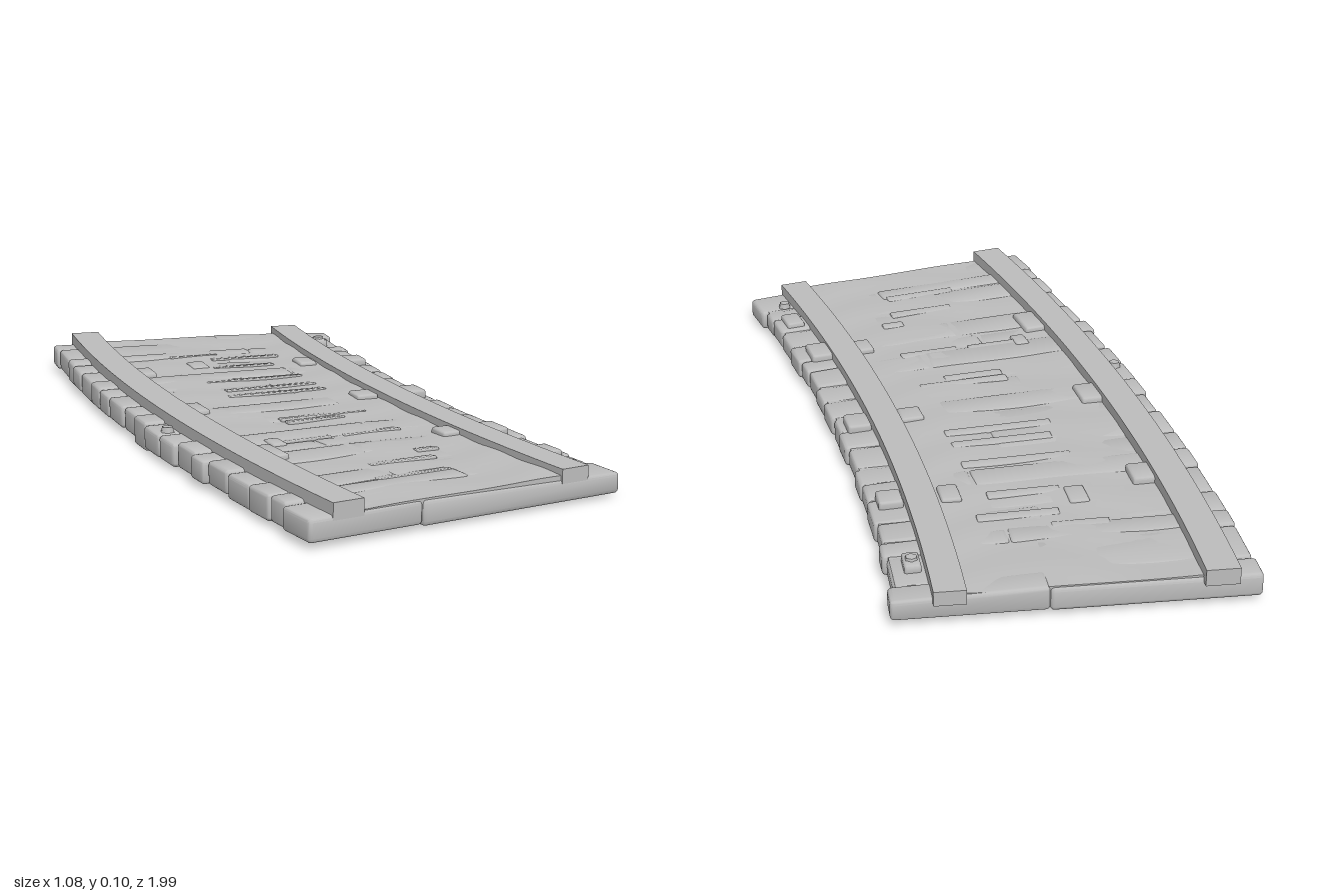
import * as THREE from 'three';
import { mergeVertices, toCreasedNormals } from 'three/addons/utils/BufferGeometryUtils.js';
import { RoundedBoxGeometry } from 'three/addons/geometries/RoundedBoxGeometry.js';

// Curved track bed: u runs across (0 to WIDTH), s runs along the arc (0 = back, 1 = front).
const RADIUS = 7.64, CX = 7.1, CZ = -0.98, TURN = Math.PI / 12, WIDTH = 0.85;
const LENGTH = TURN * (RADIUS - WIDTH / 2);

let seed = 7;
const rand = () => (seed = (seed * 16807) % 2147483647) / 2147483647;

// Upper level of the plank ends, lower on the outer right side
const deckTop = u => 0.077 - 0.011 * THREE.MathUtils.smoothstep(u, 0.55, 0.84);

// Convert plan position to track coordinates
function toTrack(x, z) {
  return [RADIUS - Math.hypot(CX - x, z - CZ), Math.atan2(z - CZ, CX - x) / TURN];
}

// Bend a geometry laid out in (u, y, s) around the arc
function bend(geo, shift) {
  const p = geo.attributes.position;
  for (let i = 0; i < p.count; i++) {
    let u = p.getX(i), y = p.getY(i);
    const s = p.getZ(i) / LENGTH;
    if (shift) y += shift(u, y, s);
    const r = RADIUS - u, a = s * TURN;
    p.setXYZ(i, CX - r * Math.cos(a), y, CZ + r * Math.sin(a));
  }
  geo.deleteAttribute('normal');
  geo.deleteAttribute('uv');
  return toCreasedNormals(mergeVertices(geo, 1e-5), 0.6);
}

export function createModel() {
  const group = new THREE.Group();
  const grey = new THREE.MeshStandardMaterial({ color: 0xbcbcbc });
  grey.name = 'weathered grey';

  function add(name, geo, parent = group) {
    const mesh = new THREE.Mesh(geo, grey);
    mesh.name = name;
    parent.add(mesh);
  }
  function section(name) {
    const g = new THREE.Group();
    g.name = name;
    group.add(g);
    return g;
  }
  // Rectangular piece subdivided so it can follow the curve
  function strip(u0, u1, s0, s1, y0, y1, nu, ns, shift) {
    const geo = new THREE.BoxGeometry(u1 - u0, y1 - y0, (s1 - s0) * LENGTH, nu, 1, ns);
    geo.translate((u0 + u1) / 2, (y0 + y1) / 2, (s0 + s1) / 2 * LENGTH);
    return bend(geo, shift);
  }
  // Worn short piece with rounded edges
  function chunk(u0, u1, s0, s1, y0, y1, radius, shift) {
    const geo = new RoundedBoxGeometry(u1 - u0, y1 - y0, (s1 - s0) * LENGTH, 2, radius);
    geo.translate((u0 + u1) / 2, (y0 + y1) / 2, (s0 + s1) / 2 * LENGTH);
    return bend(geo, shift);
  }

  // Solid bed behind the plank gaps
  add('bedCore', strip(0.02, 0.83, 0.004, 0.996, 0.022, 0.06, 1, 24));

  // Cross planks, each row made of two boards with a staggered joint
  const planks = section('crossPlanks');
  const rows = 19;
  const cuts = [0];
  for (let i = 1; i < rows; i++) cuts.push((i + (rand() - 0.5) * 0.45) / rows);
  cuts.push(1);
  for (let i = 0; i < rows; i++) {
    const end = i === 0 || i === rows - 1;
    const left = end ? 0 : rand() * 0.014, right = WIDTH - (end ? 0 : rand() * 0.016);
    const joint = 0.25 + rand() * 0.35;
    for (const [u0, u1] of [[left, joint], [joint, right]]) {
      const bottom = i === 9 ? 0 : 0.009 + rand() * 0.008;
      const wear = rand() * 0.006, mid = 0.045;
      add('plank', chunk(u0, u1, cuts[i] + 0.0005, cuts[i + 1] - 0.0005, bottom, 0.077, 0.01,
        (u, y) => (y > mid ? deckTop(u) - 0.077 - wear : 0)), planks);
    }
  }

  // Gently uneven walking surface between the rails
  add('centreSurface', strip(0.13, 0.69, 0.004, 0.997, 0.05, 0.074, 20, 60, (u, y, s) =>
    y < 0.06 ? 0 : 0.0018 * Math.sin(u * 17 + s * 9) + 0.0015 * Math.sin(s * 61 + 2 * Math.sin(u * 9))));

  // Rails, the inner one of the bend slightly lower
  add('rightRail', strip(0.06, 0.14, -0.008, 1, 0.06, 0.101, 1, 32));
  add('leftRail', strip(0.68, 0.755, -0.006, 1, 0.055, 0.091, 1, 32));

  // Raised plank edges showing through the surface: x, z, width
  const ridges = section('woodRidges');
  for (const [x, z, w] of [
    [-0.17, -0.70, 0.14], [-0.03, -0.64, 0.2], [-0.06, -0.53, 0.18], [-0.07, -0.36, 0.28],
    [-0.05, -0.25, 0.26], [-0.05, -0.18, 0.28], [0.0, 0.10, 0.24], [-0.03, 0.14, 0.16],
    [0.07, 0.30, 0.16], [-0.12, 0.33, 0.16], [0.15, 0.50, 0.06], [0.06, 0.59, 0.18], [0.05, 0.71, 0.2]
  ]) {
    const [u, s] = toTrack(x, z);
    add('ridge', chunk(u - w / 2, u + w / 2, s - 0.008, s + 0.008, 0.066, 0.079, 0.004,
      (pu, y, ps) => (y > 0.072 && ps < s ? -0.003 : 0)), ridges);
  }

  // Worn fastening blocks beside the rails: x, z, width, length, top
  const blocks = section('railBlocks');
  for (const [x, z, w, l, top] of [
    [-0.365, -0.48, 0.07, 0.08, 0.089], [-0.315, -0.02, 0.06, 0.09, 0.089], [-0.235, 0.46, 0.06, 0.11, 0.089],
    [-0.185, -0.56, 0.05, 0.08, 0.081], [-0.19, 0.35, 0.04, 0.06, 0.081],
    [0.12, -0.52, 0.05, 0.08, 0.085], [0.165, -0.08, 0.06, 0.07, 0.085], [0.25, 0.36, 0.05, 0.07, 0.085],
    [0.245, -0.82, 0.04, 0.07, 0.081], [0.265, -0.52, 0.06, 0.07, 0.084], [0.305, -0.1, 0.06, 0.08, 0.084],
    [0.37, 0.35, 0.06, 0.09, 0.084], [0.43, 0.58, 0.05, 0.08, 0.079]
  ]) {
    const [u, s] = toTrack(x, z), ds = l / 2 / LENGTH;
    add('railBlock', chunk(u - w / 2, u + w / 2, s - ds, s + ds, 0.055, top, 0.007), blocks);
  }

  // Small bolt heads on the plank ends
  for (const [x, z, y] of [[-0.42, 0.155, 0.078], [0.447, 0.7, 0.07], [0.245, -0.82, 0.08]]) {
    const bolt = new THREE.CylinderGeometry(0.014, 0.018, 0.014, 6);
    bolt.translate(x, y, z);
    add('boltHead', bolt);
  }

  return group;
}
